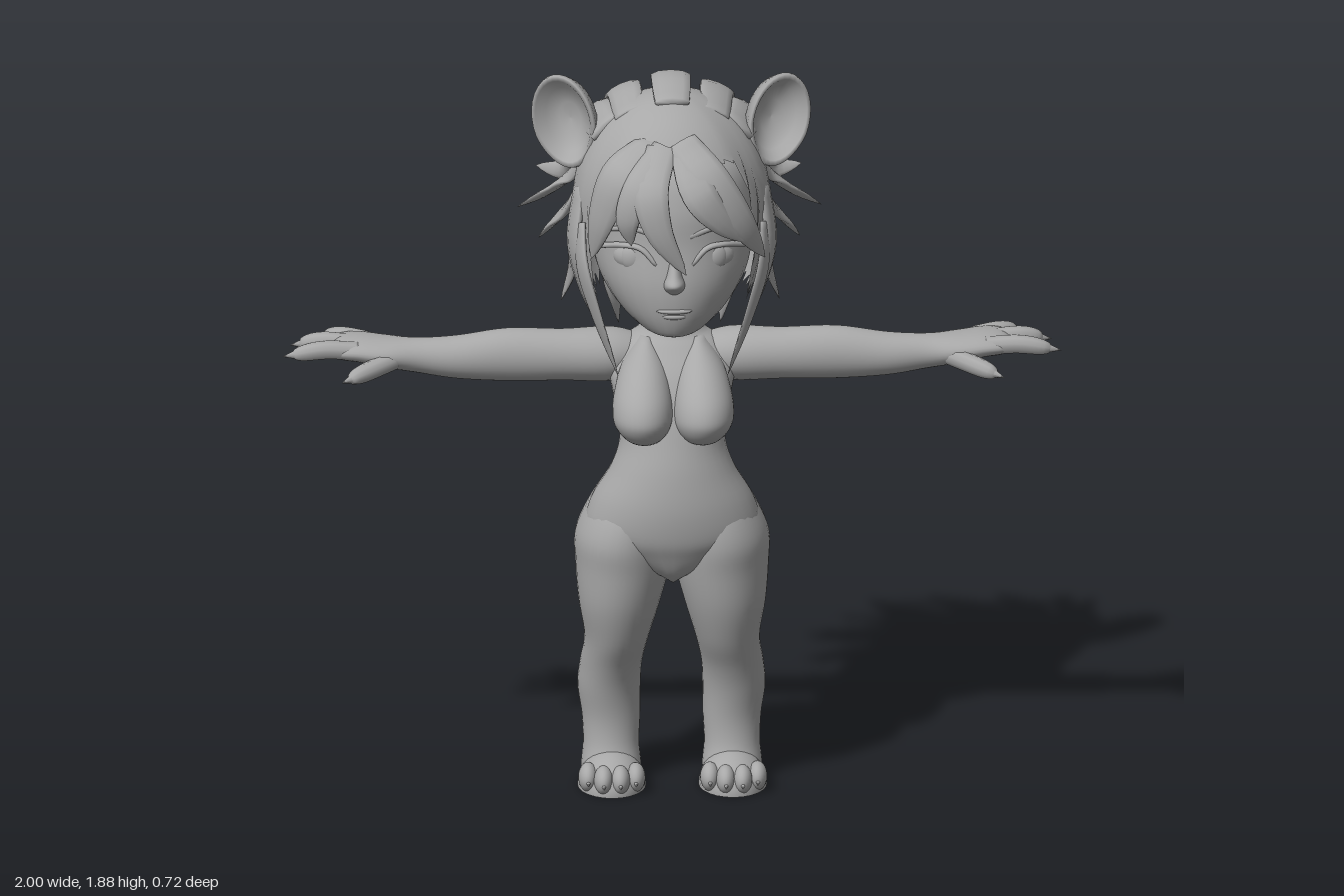
import * as THREE from 'three';
import { mergeVertices } from 'three/addons/utils/BufferGeometryUtils.js';

const V = (p) => new THREE.Vector3(...p);

// Skin a list of rings (arrays of Vector3) and close both ends
function skin(rings) {
  const n = rings[0].length, pos = [], idx = [];
  rings.forEach((r) => r.forEach((p) => pos.push(p.x, p.y, p.z)));
  for (let i = 0; i < rings.length - 1; i++) for (let j = 0; j < n; j++) {
    const a = i * n + j, b = i * n + (j + 1) % n;
    idx.push(a, b, b + n, a, b + n, a + n);
  }
  [0, rings.length - 1].forEach((i) => {
    const c = rings[i].reduce((s, p) => s.add(p), V([0, 0, 0])).divideScalar(n);
    const k = pos.length / 3;
    pos.push(c.x, c.y, c.z);
    for (let j = 0; j < n; j++) {
      const a = i * n + j, b = i * n + (j + 1) % n;
      if (i === 0) idx.push(k, b, a); else idx.push(k, a, b);
    }
  });
  const g = new THREE.BufferGeometry();
  g.setAttribute('position', new THREE.Float32BufferAttribute(pos, 3));
  g.setIndex(idx);
  g.computeVertexNormals();
  return g;
}

// Smooth elliptical loft; place(row) gives centre, first half axis, second half axis
function loft(rows, place, sides = 32, sub = 5) {
  const rings = [], cr = (a, b, c, d, t) => 0.5 * (2 * b + (c - a) * t
    + (2 * a - 5 * b + 4 * c - d) * t * t + (3 * b - a - 3 * c + d) * t * t * t);
  const last = rows.length - 1;
  for (let i = 0; i <= last * sub; i++) {
    const k = Math.min(Math.floor(i / sub), last - 1), t = i / sub - k;
    const at = (m) => rows[Math.max(0, Math.min(last, m))];
    const row = rows[0].map((_, c) => cr(at(k - 1)[c], at(k)[c], at(k + 1)[c], at(k + 2)[c], t));
    const [o, u, v] = place(row).map(V);
    rings.push(Array.from({ length: sides }, (_, j) => {
      const a = j / sides * Math.PI * 2;
      return o.clone().addScaledVector(u, Math.cos(a)).addScaledVector(v, Math.sin(a));
    }));
  }
  return skin(rings);
}
const upright = ([y, cx, rx, zf, zb]) => [[cx, y, (zf + zb) / 2], [0, 0, (zf - zb) / 2], [rx, 0, 0]];
const sideways = ([x, cy, cz, ry, rz]) => [[x, cy, cz], [0, ry, 0], [0, 0, rz]];

// Sweep a flat ellipse along a path, its flat side facing away from centre
function sweep(pts, w, t, profile, centre, steps = 14, sides = 10) {
  const curve = new THREE.CatmullRomCurve3(pts.map(V)), rings = [];
  for (let i = 0; i <= steps; i++) {
    const s = i / steps, p = curve.getPoint(s), T = curve.getTangent(s);
    const N = p.clone().sub(centre);
    N.addScaledVector(T, -N.dot(T)).normalize();
    const B = T.clone().cross(N), k = profile(s);
    rings.push(Array.from({ length: sides }, (_, j) => {
      const a = j / sides * Math.PI * 2;
      return p.clone().addScaledVector(N, Math.cos(a) * t * k).addScaledVector(B, Math.sin(a) * w * k);
    }));
  }
  return skin(rings);
}
const tapered = (s) => Math.max(0.01, Math.pow(1 - s, 0.8) * (0.65 + 1.2 * s));
const rounded = (s) => Math.max(0.02, Math.sqrt(1 - Math.pow(s, 6)));

export function createModel() {
  const model = new THREE.Group();
  const grey = new THREE.MeshStandardMaterial({ color: 0xa8a8a8, side: THREE.DoubleSide });
  grey.name = 'plain grey';
  const headCentre = V([0, 1.56, 0.2]);

  const add = (name, geo, parent = model) => {
    const m = new THREE.Mesh(geo, grey);
    m.name = name;
    parent.add(m);
    return m;
  };
  const ball = (name, c, r, parent = model) => {
    const m = add(name, new THREE.SphereGeometry(1, 24, 16), parent);
    m.position.set(...c);
    m.scale.set(...r);
    return m;
  };
  const lock = (name, pts, w, parent = model) => add(name, sweep(pts, w, w * 0.3, tapered, headCentre), parent);

  // Torso and neck
  add('torso', loft([
    [0.57, 0, 0.01, 0.36, 0.26], [0.6, 0, 0.07, 0.395, 0.2], [0.65, 0, 0.165, 0.42, 0.16], [0.7, 0, 0.222, 0.438, 0.14],
    [0.78, 0, 0.208, 0.445, 0.135], [0.87, 0, 0.158, 0.435, 0.172], [0.95, 0, 0.135, 0.415, 0.165],
    [1.05, 0, 0.152, 0.385, 0.125], [1.12, 0, 0.162, 0.35, 0.11], [1.18, 0, 0.125, 0.3, 0.115],
    [1.22, 0, 0.078, 0.27, 0.125], [1.32, 0, 0.068, 0.26, 0.13]], upright));

  // Head
  add('head', loft([
    [1.255, 0, 0.03, 0.43, 0.33], [1.265, 0, 0.08, 0.455, 0.22], [1.32, 0, 0.145, 0.475, 0.11], [1.4, 0, 0.192, 0.48, 0.05],
    [1.5, 0, 0.212, 0.465, 0.02], [1.6, 0, 0.215, 0.455, 0.01], [1.7, 0, 0.19, 0.41, 0.04], [1.8, 0, 0.08, 0.28, 0.12]], upright));
  add('nose', loft([
    [1.375, 0, 0.012, 0.47, 0.42], [1.392, 0, 0.026, 0.492, 0.42], [1.412, 0, 0.027, 0.517, 0.42],
    [1.435, 0, 0.02, 0.5, 0.42], [1.475, 0, 0.014, 0.476, 0.42], [1.52, 0, 0.01, 0.46, 0.42]], upright));
  ball('upperLip', [0, 1.336, 0.468], [0.046, 0.008, 0.015]);
  ball('lowerLip', [0, 1.321, 0.465], [0.034, 0.009, 0.014]);

  // Paired parts, built on the left and mirrored
  [1, -1].forEach((side) => {
    const half = new THREE.Group();
    half.name = side > 0 ? 'leftSide' : 'rightSide';
    half.scale.x = side;
    model.add(half);

    add('chest', loft([
      [0.948, 0.075, 0.015, 0.39, 0.35], [0.965, 0.075, 0.048, 0.435, 0.3], [0.995, 0.077, 0.07, 0.463, 0.28],
      [1.03, 0.078, 0.078, 0.47, 0.26], [1.08, 0.077, 0.073, 0.445, 0.24], [1.14, 0.073, 0.055, 0.378, 0.2],
      [1.2, 0.066, 0.015, 0.27, 0.2]], upright), half);
    add('leg', loft([
      [0, 0.155, 0.07, 0.31, 0.145], [0.04, 0.155, 0.077, 0.31, 0.133], [0.1, 0.155, 0.072, 0.285, 0.142],
      [0.17, 0.155, 0.075, 0.28, 0.13], [0.25, 0.16, 0.081, 0.295, 0.11], [0.32, 0.155, 0.08, 0.32, 0.12],
      [0.4, 0.142, 0.083, 0.36, 0.155], [0.5, 0.135, 0.105, 0.395, 0.145], [0.6, 0.126, 0.122, 0.412, 0.11],
      [0.68, 0.124, 0.124, 0.422, 0.09], [0.76, 0.108, 0.106, 0.405, 0.11], [0.83, 0.092, 0.075, 0.36, 0.145],
      [0.9, 0.075, 0.02, 0.3, 0.2]], upright), half);

    // Foot, toes and claws
    const foot = ball('foot', [0.155, 0, 0.275], [0.088, 0.092, 0.118], half);
    const fp = foot.geometry.attributes.position;
    for (let i = 0; i < fp.count; i++) fp.setY(i, Math.max(0, fp.getY(i)));
    foot.geometry.computeVertexNormals();
    [[0.095, 0.33], [0.135, 0.355], [0.178, 0.355], [0.217, 0.325]].forEach(([x, z]) => {
      ball('toe', [x, 0.037, z], [0.025, 0.037, 0.046], half);
      const claw = add('toeClaw', new THREE.ConeGeometry(0.009, 0.026, 8), half);
      claw.position.set(x, 0.032, z + 0.046);
      claw.rotation.x = 1.9;
    });

    // Arm, fingers and claws
    add('arm', loft([
      [0.06, 1.14, 0.2, 0.04, 0.05], [0.15, 1.14, 0.21, 0.069, 0.075], [0.28, 1.143, 0.225, 0.067, 0.062],
      [0.42, 1.145, 0.227, 0.069, 0.058], [0.55, 1.14, 0.228, 0.056, 0.054], [0.65, 1.145, 0.226, 0.045, 0.05],
      [0.73, 1.152, 0.215, 0.039, 0.073], [0.8, 1.16, 0.2, 0.033, 0.083], [0.85, 1.16, 0.195, 0.026, 0.075],
      [0.875, 1.16, 0.195, 0.006, 0.05]], sideways), half);
    [[[0.78, 1.16, 0.145], [0.84, 1.165, 0.125], [0.89, 1.155, 0.098]],
      [[0.8, 1.162, 0.19], [0.89, 1.168, 0.175], [0.955, 1.155, 0.16]],
      [[0.8, 1.162, 0.245], [0.89, 1.168, 0.25], [0.977, 1.155, 0.253]],
      [[0.7, 1.145, 0.25], [0.77, 1.13, 0.3], [0.832, 1.116, 0.345]]].forEach((p) => {
      add('finger', sweep(p, 0.025, 0.025, rounded, V([0.8, -3, 0.2])), half);
      const tip = V(p[2]), dir = tip.clone().sub(V(p[1])).normalize();
      const claw = add('fingerClaw', new THREE.ConeGeometry(0.011, 0.032, 8), half);
      claw.position.copy(tip).addScaledVector(dir, 0.006);
      claw.quaternion.setFromUnitVectors(V([0, 1, 0]), dir);
    });

    // Eye, lid and brow
    ball('eye', [0.105, 1.465, 0.405], [0.053, 0.037, 0.032], half).rotation.y = 0.42;
    ball('iris', [0.11, 1.466, 0.424], [0.028, 0.032, 0.016], half).rotation.y = 0.42;
    add('eyelid', sweep([[0.045, 1.458, 0.458], [0.085, 1.498, 0.448], [0.13, 1.502, 0.427], [0.18, 1.485, 0.375]],
      0.007, 0.009, () => 1, headCentre), half);
    add('brow', sweep([[0.04, 1.53, 0.455], [0.1, 1.548, 0.438], [0.165, 1.535, 0.393]], 0.007, 0.005, () => 1, headCentre), half);

    // Bowl-shaped animal ear
    const bowl = [[0, -0.07], [0.045, -0.062], [0.075, -0.035], [0.085, 0.005], [0.083, 0.018], [0.074, 0.016],
      [0.058, -0.015], [0.03, -0.036], [0, -0.04]].map(([r, h]) => new THREE.Vector2(Math.max(r, 0.0001), h));
    const earGeo = new THREE.LatheGeometry(bowl, 32).rotateX(Math.PI / 2), ep = earGeo.attributes.position;
    for (let i = 0; i < ep.count; i++) ep.setX(i, ep.getX(i) * (1 + 2 * Math.min(0, ep.getY(i) + 0.02)));
    const ear = add('ear', earGeo, half);
    ear.scale.set(1, 1.45, 1);
    ear.position.set(0.272, 1.762, 0.195);
    ear.rotation.set(-0.1, 0.4, -0.25);

    // Long strand beside the face and the panel behind it
    lock('sideStrand', [[0.235, 1.52, 0.3], [0.232, 1.42, 0.34], [0.2, 1.3, 0.35], [0.14, 1.12, 0.34]], 0.045, half);
    lock('sidePanel', [[0.235, 1.6, 0.24], [0.25, 1.46, 0.27], [0.225, 1.34, 0.27], [0.185, 1.22, 0.24]], 0.07, half);

    // Spiky locks over the top, sides and back
    [[[0.11, 1.8, 0.26], [0.12, 1.81, 0.08], [0.14, 1.73, -0.06], [0.18, 1.7, -0.13], 0.062],
      [[0.17, 1.76, 0.25], [0.2, 1.75, 0.09], [0.23, 1.66, -0.04], [0.29, 1.61, -0.16], 0.07],
      [[0.06, 1.77, 0], [0.08, 1.7, -0.07], [0.12, 1.62, -0.13], [0.18, 1.545, -0.2], 0.055],
      [[0.22, 1.64, 0.14], [0.25, 1.58, 0.07], [0.3, 1.53, 0.04], [0.39, 1.47, 0.01], 0.055],
      [[0.22, 1.58, 0.1], [0.25, 1.5, 0.06], [0.29, 1.44, 0.02], [0.335, 1.38, -0.01], 0.055],
      [[0.2, 1.6, 0.03], [0.22, 1.57, -0.02], [0.27, 1.55, -0.05], [0.34, 1.56, -0.06], 0.045],
      [[0.22, 1.56, 0.18], [0.25, 1.44, 0.16], [0.25, 1.35, 0.12], [0.28, 1.24, 0.08], 0.065],
      [[0.12, 1.62, -0.02], [0.15, 1.52, -0.06], [0.18, 1.46, -0.1], [0.2, 1.41, -0.16], 0.06],
      [[0.16, 1.55, 0.02], [0.18, 1.42, 0], [0.19, 1.35, -0.03], [0.2, 1.28, -0.09], 0.065],
      [[0.06, 1.52, -0.04], [0.07, 1.4, -0.03], [0.07, 1.32, -0.06], [0.09, 1.22, -0.11], 0.06],
      [[0.12, 1.5, 0.02], [0.14, 1.36, 0.05], [0.14, 1.27, 0.05], [0.13, 1.16, 0.02], 0.065],
    ].forEach((l) => lock('hairSpike', l.slice(0, 4), l[4], half));
  });

  // Scalp hair, cut away above the face and stretched down over the nape
  const cap = new THREE.SphereGeometry(1, 48, 24), cp = cap.attributes.position;
  for (let i = 0; i < cp.count; i++) {
    const phi = Math.atan2(cp.getX(i), cp.getZ(i)), th = Math.acos(THREE.MathUtils.clamp(cp.getY(i), -1, 1));
    const t = th / Math.PI * (1.05 + 1.2 * THREE.MathUtils.smoothstep(Math.abs(phi), 0.75, 1.25));
    const c = Math.cos(t);
    cp.setXYZ(i, Math.sin(t) * Math.sin(phi) * 0.252, c * (c > 0 ? 0.285 : 0.42), Math.sin(t) * Math.cos(phi) * 0.262);
  }
  cap.deleteAttribute('uv');
  cap.deleteAttribute('normal');
  const scalp = mergeVertices(cap, 1e-4);
  scalp.computeVertexNormals();
  add('scalpHair', scalp).position.copy(headCentre);

  // Fringe
  [[[0.02, 1.76, 0.38], [0.09, 1.69, 0.455], [0.17, 1.57, 0.45], [0.235, 1.45, 0.38], 0.068],
    [[0.03, 1.75, 0.39], [0.06, 1.66, 0.485], [0.11, 1.59, 0.485], [0.19, 1.51, 0.44], 0.062],
    [[-0.03, 1.75, 0.39], [-0.06, 1.66, 0.485], [-0.04, 1.56, 0.505], [0.03, 1.44, 0.495], 0.062],
    [[-0.02, 1.75, 0.39], [-0.09, 1.67, 0.47], [-0.12, 1.58, 0.475], [-0.11, 1.51, 0.46], 0.055],
    [[-0.05, 1.75, 0.37], [-0.14, 1.69, 0.425], [-0.185, 1.57, 0.415], [-0.21, 1.45, 0.38], 0.07],
  ].forEach((l) => lock('fringe', l.slice(0, 4), l[4]));

  // Centre locks from the crown down the back
  [[[0, 1.835, 0.28], [0, 1.855, 0.12], [0, 1.78, -0.03], [0, 1.69, -0.15], 0.07],
    [[0, 1.7, -0.02], [0, 1.62, -0.08], [0, 1.57, -0.12], [0, 1.5, -0.18], 0.06],
    [[0, 1.58, -0.05], [0, 1.48, -0.07], [0, 1.4, -0.09], [0, 1.33, -0.13], 0.06],
  ].forEach((l) => lock('crownLock', l.slice(0, 4), l[4]));

  // Braid hanging from the nape
  const path = new THREE.CatmullRomCurve3([[0, 1.34, 0.07], [0, 1.22, 0.07], [0, 1.08, 0.03], [0, 0.93, -0.085]].map(V));
  for (let i = 0; i < 18; i++) {
    const s = i / 17, p = path.getPoint(s), r = 0.046 - 0.022 * s, k = i % 2 ? 1 : -1;
    const plait = ball('braidPlait', [p.x + k * r * 0.5, p.y, p.z], [r * 0.72, r * 1.3, r * 0.85]);
    plait.rotation.set(0.4, 0, k * -0.6);
  }
  lock('braidTip', [[0, 0.95, -0.07], [0, 0.91, -0.1], [0, 0.865, -0.13]], 0.024);
  return model;
}
